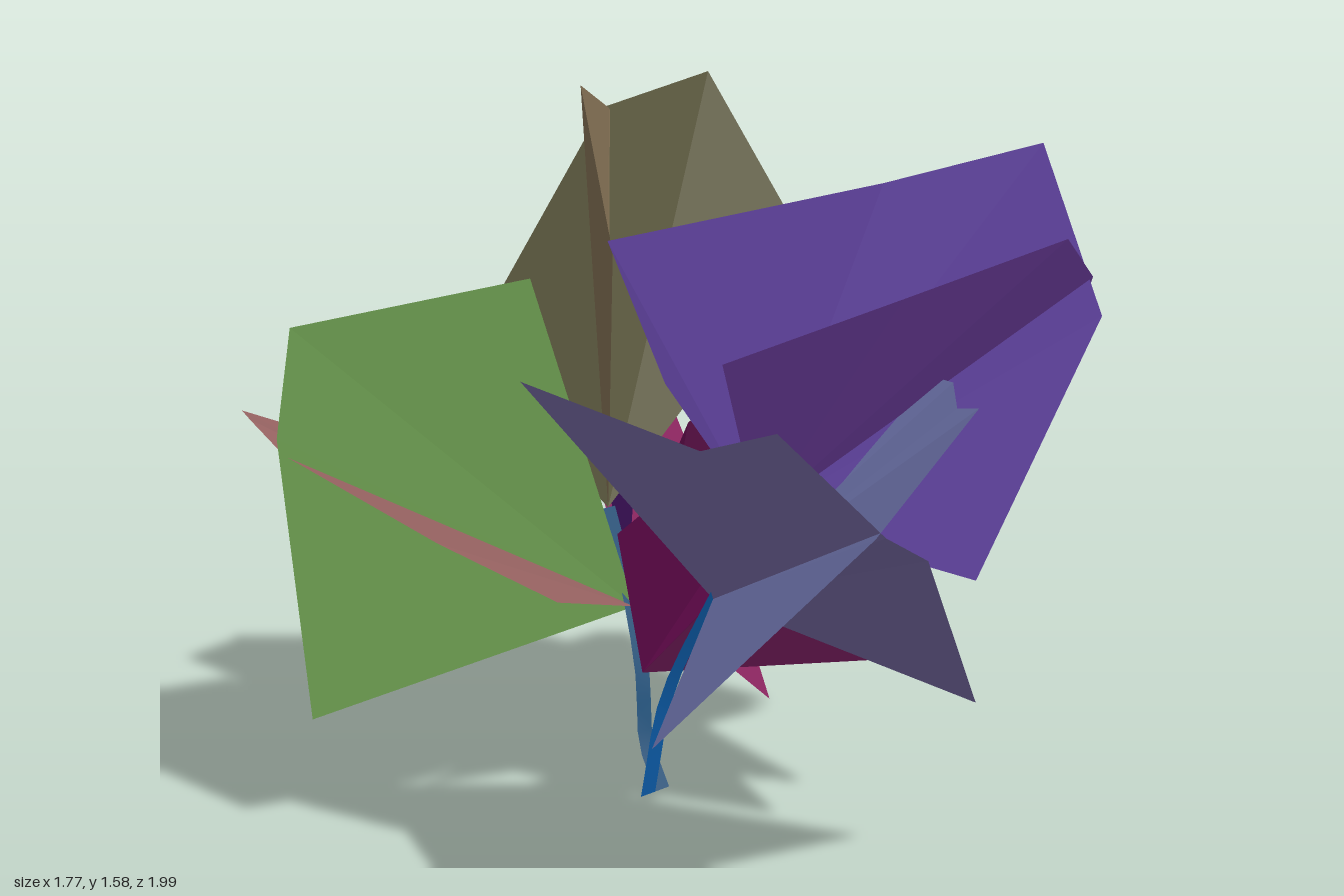
import * as THREE from 'three';

// Flat faceted sheet: a fan of triangles from the base point through its outline
function sheet(name, color, base, ...outline) {
  const pos = [];
  for (let i = 0; i + 1 < outline.length; i++) pos.push(...base, ...outline[i], ...outline[i + 1]);
  const geo = new THREE.BufferGeometry();
  geo.setAttribute('position', new THREE.Float32BufferAttribute(pos, 3));
  geo.computeVertexNormals();
  const mat = new THREE.MeshStandardMaterial({ color, flatShading: true, side: THREE.DoubleSide });
  const mesh = new THREE.Mesh(geo, mat);
  mesh.name = name;
  return mesh;
}

// Thin ribbon stem: cross-sections of constant width in x along a curve
function stem(name, color, points, width) {
  const curve = new THREE.CatmullRomCurve3(points.map(p => new THREE.Vector3(...p)));
  const pos = [], idx = [], n = 10;
  for (let i = 0; i <= n; i++) {
    const p = curve.getPoint(i / n);
    pos.push(p.x - width / 2, p.y, p.z, p.x + width / 2, p.y, p.z);
    if (i < n) idx.push(2 * i, 2 * i + 1, 2 * i + 2, 2 * i + 1, 2 * i + 3, 2 * i + 2);
  }
  const geo = new THREE.BufferGeometry();
  geo.setAttribute('position', new THREE.Float32BufferAttribute(pos, 3));
  geo.setIndex(idx);
  geo.computeVertexNormals();
  const mesh = new THREE.Mesh(geo, new THREE.MeshStandardMaterial({ color, side: THREE.DoubleSide }));
  mesh.name = name;
  return mesh;
}

// A petal is two sheets crossing along one spine
function petal(name, ...sheets) {
  const g = new THREE.Group();
  g.name = name;
  g.add(...sheets);
  return g;
}

export function createModel() {
  const model = new THREE.Group();
  model.name = 'flower';

  // Points along the stems where the petals attach
  const frontTip = [-0.28, 0.68, 0.27], frontMid = [-0.31, 0.49, 0.17];
  const backLow = [-0.19, 0.25, -0.13], backMid = [-0.12, 0.38, -0.21];
  const backHigh = [-0.11, 0.43, -0.24], backTip = [-0.07, 0.59, -0.33];

  // Stems
  model.add(
    stem('frontStem', 0x0d5fae, [[-0.33, 0.02, 0], [-0.335, 0.26, 0.06], frontMid, frontTip], 0.05),
    stem('backStem', 0x124a73, [[-0.28, 0.02, 0], [-0.25, 0.11, -0.07], backLow, backHigh, backTip], 0.05),
  );

  // Front blossom
  model.add(
    petal('frontUpperPetal',
      sheet('broadSheet', 0x7f48b8, frontTip, [-0.75, 1.1, 0.54], [-0.36, 1.2, 0.7], [-0.14, 1.32, 0.95],
        [0.11, 1.21, 0.86], [0.2, 1.18, 0.8], [0.36, 0.84, 0.28]),
      sheet('uprightSheet', 0x6848ac, frontTip, [-0.3, 0.95, 0.03], [-0.29, 1.25, -0.14], [-0.02, 1.39, 0.41],
        [0.16, 1.48, 0.7], [0.1, 1.13, 0.89], [-0.17, 0.59, 0.76])),
    petal('frontSidePetal',
      sheet('broadSheet', 0x767cb8, frontMid, [-0.84, 0.32, 0.43], [-0.75, 0.8, 0.91], [-0.52, 1.03, 0.99],
        [-0.31, 0.98, 0.8], [-0.1, 0.99, 0.65], [0.07, 0.99, 0.3], [-0.08, 0.78, 0.24]),
      sheet('crossSheet', 0x7a6da8, frontMid, [-0.74, 1.01, 0], [-0.745, 0.92, 0.48], [-0.89, 1.01, 0.78],
        [-0.73, 0.8, 0.92], [-0.66, 0.75, 0.97], [-0.21, 0.34, 0.79])),
  );

  // Back blossom
  model.add(
    petal('crimsonPetal',
      sheet('broadSheet', 0x6e0a55, backLow, [0.48, 0.23, -0.08], [0.48, 0.68, 0.15], [0.38, 0.87, 0.24],
        [0.2, 1.05, 0.24], [-0.49, 0.65, 0.05]),
      sheet('crossSheet', 0x52083f, backLow, [0.04, 0.33, 0.45], [0.39, 0.87, 0.25], [0.44, 1.01, -0.09],
        [0.18, 0.76, -0.29], [0, 0.5, -0.3])),
    petal('pinkPetal',
      sheet('broadSheet', 0x92285f, backHigh, [0.43, 0.69, -0.05], [0.65, 0.76, -0.08], [0.885, 0.63, -0.5],
        [0.82, 0.58, -0.61], [0.7, 0.51, -0.67], [0.19, 0.27, -0.98]),
      sheet('crossSheet', 0x8c2660, backHigh, [0.53, 0, -0.31], [0.7, 0.51, -0.67], [0.73, 0.74, -0.82],
        [0.3, 1.03, -0.76], [0.07, 0.83, -0.56])),
    petal('olivePetal',
      sheet('broadSheet', 0x806e52, backTip, [-0.13, 1.2, -0.26], [0.02, 1.56, -0.48], [0.24, 1.49, -0.58],
        [0.66, 0.96, -0.61], [0.38, 0.78, -0.48]),
      sheet('crossSheet', 0x696649, backTip, [0.38, 1.18, -0.09], [0.36, 1.58, -0.37], [0.24, 1.49, -0.6],
        [-0.01, 0.9, -0.83])),
    petal('greenPetal',
      sheet('broadSheet', 0x93605f, backMid, [-0.48, 0.47, -0.13], [-0.86, 0.67, -0.13], [-0.7, 0.76, -0.75],
        [-0.66, 0.82, -0.9], [-0.59, 0.82, -1], [-0.13, 0.65, -1], [-0.02, 0.55, -0.8]),
      sheet('uprightSheet', 0x74a856, backMid, [-0.3, 1.15, -0.36], [-0.69, 1.05, -0.73], [-0.72, 0.8, -0.75],
        [-0.68, 0.15, -0.7])),
    petal('innerPetal',
      sheet('broadSheet', 0x3c1058, backHigh, [-0.02, 0.76, -0.66], [0.05, 0.74, -0.57]),
      sheet('crossSheet', 0x3c1058, backHigh, [0.06, 0.73, -0.47], [0.08, 0.76, -0.36])),
  );

  return model;
}
